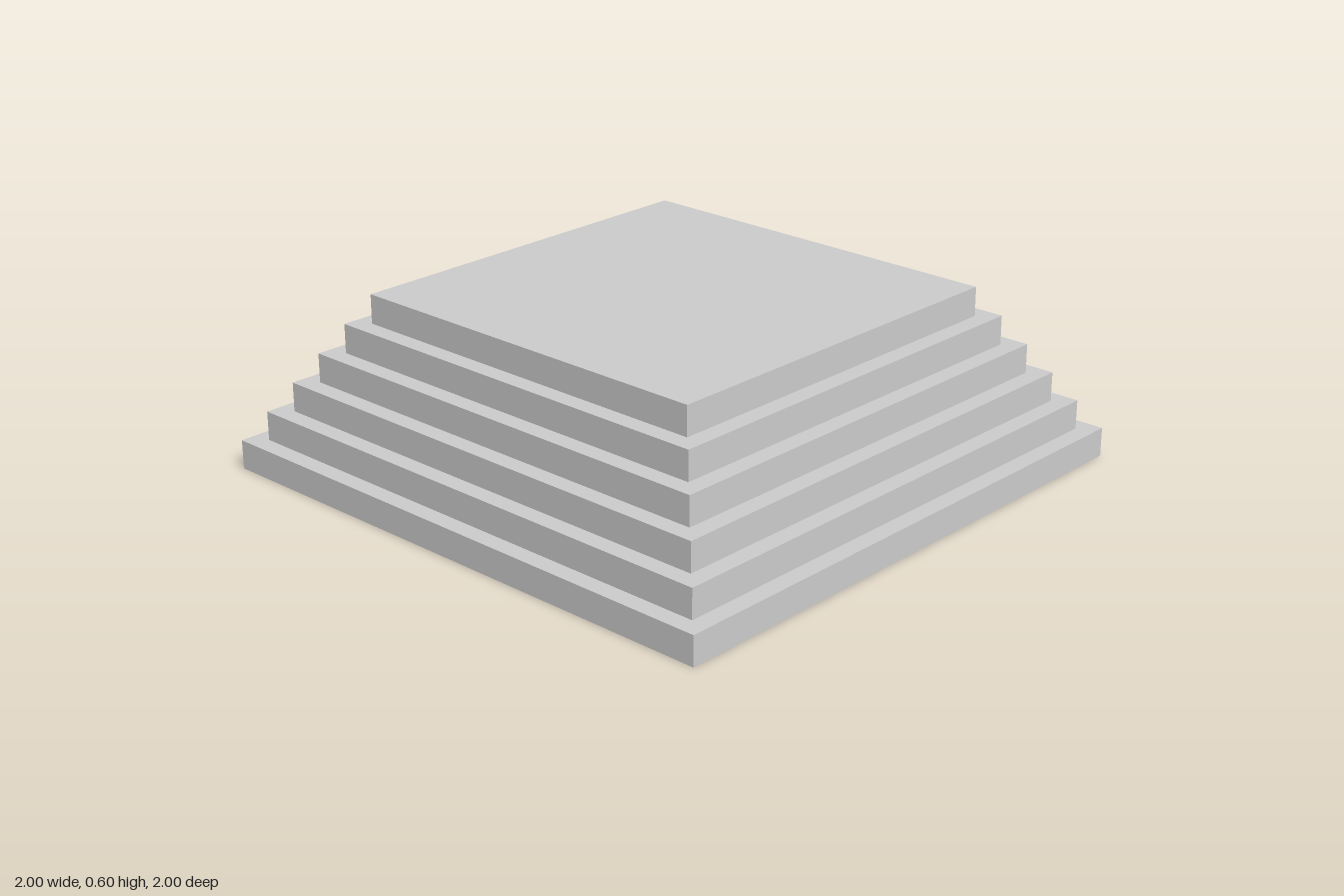
import * as THREE from 'three';

const STEPS = 6;
const STEP_HEIGHT = 0.1;
const BASE_WIDTH = 2;
const WIDTH_DROP = 0.125; // each step is narrower than the one below

export function createModel() {
  const model = new THREE.Group();
  model.name = 'steppedPlatform';
  const material = new THREE.MeshStandardMaterial({ color: 0xcccccc });

  // Square slabs stacked from the ground up
  for (let i = 0; i < STEPS; i++) {
    const width = BASE_WIDTH - i * WIDTH_DROP;
    const step = new THREE.Mesh(new THREE.BoxGeometry(width, STEP_HEIGHT, width), material);
    step.name = `step${i + 1}`;
    step.position.y = (i + 0.5) * STEP_HEIGHT;
    model.add(step);
  }
  return model;
}
